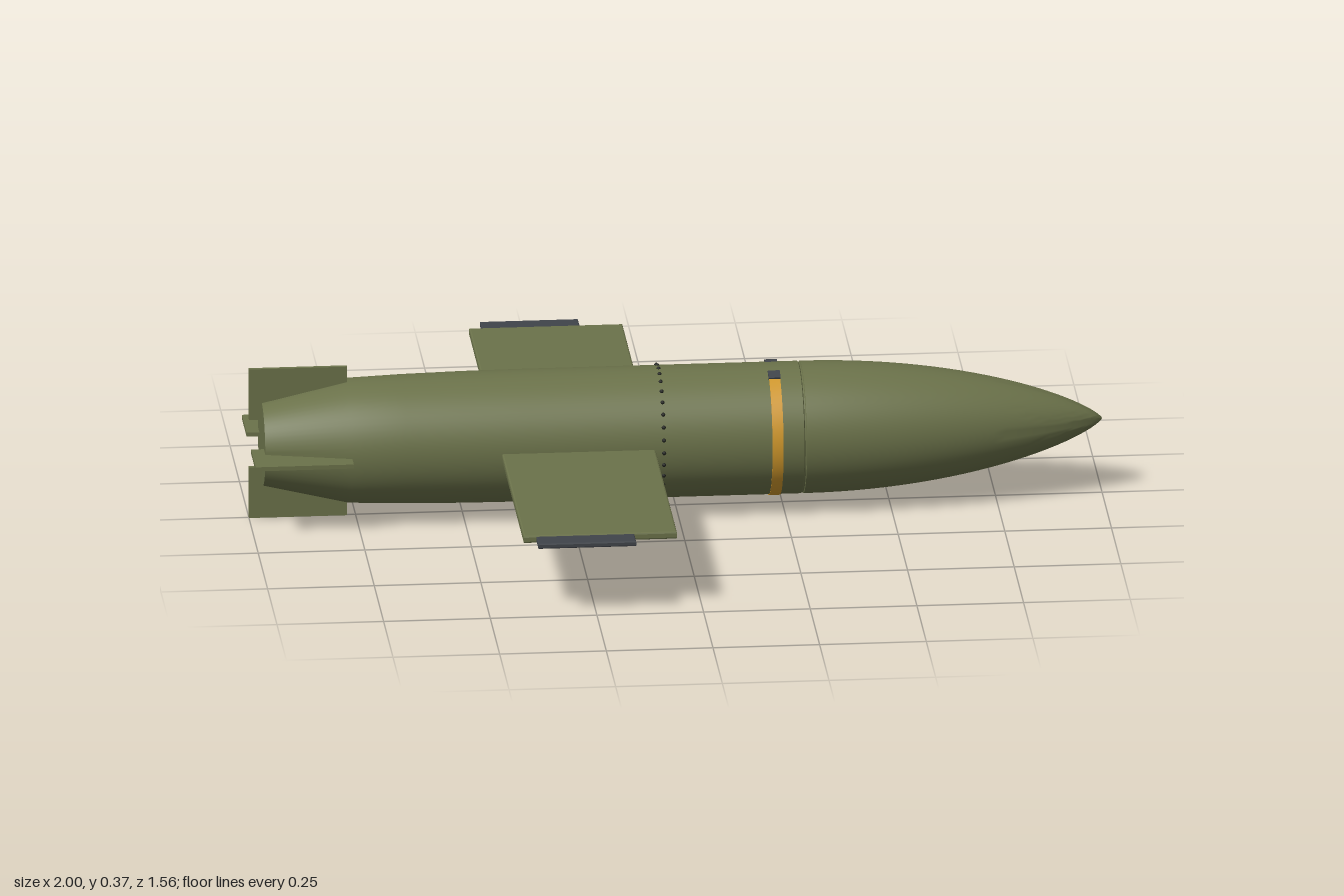
import * as THREE from 'three';
import { toCreasedNormals } from 'three/addons/utils/BufferGeometryUtils.js';

const AXIS = 0.185; // height of the body axis
const R = 0.155;    // body radius

function material(name, color, side = THREE.FrontSide) {
  const m = new THREE.MeshStandardMaterial({ color, side });
  m.name = name;
  return m;
}

// Revolves [x, radius] points about the x axis
function revolve(points, start = 0, length = Math.PI * 2) {
  const profile = points.map(([x, r]) => new THREE.Vector2(r, x));
  const g = new THREE.LatheGeometry(profile, 64, start, length);
  g.rotateZ(-Math.PI / 2);
  return toCreasedNormals(g, 0.5);
}

export function createModel() {
  const model = new THREE.Group();
  model.name = 'glideBody';
  const olive = material('olive', 0x6b724a);
  const yellow = material('yellow', 0xd0982c, THREE.DoubleSide);
  const grey = material('darkGrey', 0x40444a);
  const black = material('black', 0x222420);

  function add(name, geometry, mat, x = 0, y = 0, z = 0, parent = model) {
    const mesh = new THREE.Mesh(geometry, mat);
    mesh.name = name;
    mesh.position.set(x, y, z);
    parent.add(mesh);
    return mesh;
  }

  // Fuselage with tapered tail
  add('fuselage', revolve([
    [-0.97, 0], [-0.97, 0.1], [-0.77, 0.146], [-0.64, 0.151], [-0.5, 0.154],
    [-0.35, R], [0.289, R], [0.291, 0.152], [0.3, 0.152],
  ]), olive, 0, AXIS);

  // Ogive nose
  const nose = [[0.293, 0.15], [0.295, R]];
  for (let i = 0; i <= 28; i++) {
    const t = Math.sin((i / 28) * Math.PI / 2);
    nose.push([0.3 + 0.7 * t, R * Math.pow(Math.max(0, 1 - t * t), 0.75)]);
  }
  add('nose', revolve(nose), olive, 0, AXIS);

  // Painted band, open at the top, with a clasp at each end
  const gap = 0.33;
  add('band', revolve(
    [[0.214, R - 0.003], [0.214, R + 0.002], [0.24, R + 0.002], [0.24, R - 0.003]],
    Math.PI * 1.5 + gap, Math.PI * 2 - 2 * gap,
  ), yellow, 0, AXIS);
  for (const s of [-1, 1]) {
    const a = s * gap;
    const clasp = add('bandClasp', new THREE.BoxGeometry(0.028, 0.01, 0.028), grey,
      0.227, AXIS + Math.cos(a) * R, Math.sin(a) * R);
    clasp.rotation.x = a;
  }

  // Ring of rivets
  const rivets = new THREE.Group();
  rivets.name = 'rivetRing';
  model.add(rivets);
  const rivet = new THREE.SphereGeometry(0.005, 8, 6);
  for (let i = 0; i < 32; i++) {
    const a = (i / 32) * Math.PI * 2;
    add('rivet', rivet, black, -0.04, AXIS + Math.cos(a) * R, Math.sin(a) * R, rivets);
  }

  // Straight wings with bevelled edges and dark tip plates
  function plate(x0, x1, z0, z1, thickness, bevel) {
    const b = bevel;
    const shape = new THREE.Shape();
    shape.moveTo(x0 + b, z0 + b);
    shape.lineTo(x1 - b, z0 + b);
    shape.lineTo(x1 - b, z1 - b);
    shape.lineTo(x0 + b, z1 - b);
    const g = new THREE.ExtrudeGeometry(shape, {
      depth: thickness - 2 * b, bevelEnabled: true,
      bevelSize: b, bevelThickness: b, bevelSegments: 2,
    });
    g.translate(0, 0, b - thickness / 2);
    return g.rotateX(Math.PI / 2);
  }
  for (const [side, sign] of [['left', 1], ['right', -1]]) {
    const span = (a, b) => (sign > 0 ? [a, b] : [-b, -a]);
    add(side + 'Wing', plate(-0.42, -0.06, ...span(0.08, 0.728), 0.018, 0.004), olive, 0, AXIS);
    add(side + 'WingTip', plate(-0.39, -0.16, ...span(0.7, 0.778), 0.013, 0.003), grey, 0, AXIS);
  }

  // Four tail fins in a cross
  for (let i = 0; i < 4; i++) {
    const fin = new THREE.Group();
    fin.name = 'tailFin';
    fin.position.y = AXIS;
    fin.rotation.x = i * Math.PI / 2;
    add('finPlate', new THREE.BoxGeometry(0.23, 0.125, 0.01), olive, -0.885, 0.1215, 0, fin);
    model.add(fin);
  }
  return model;
}
